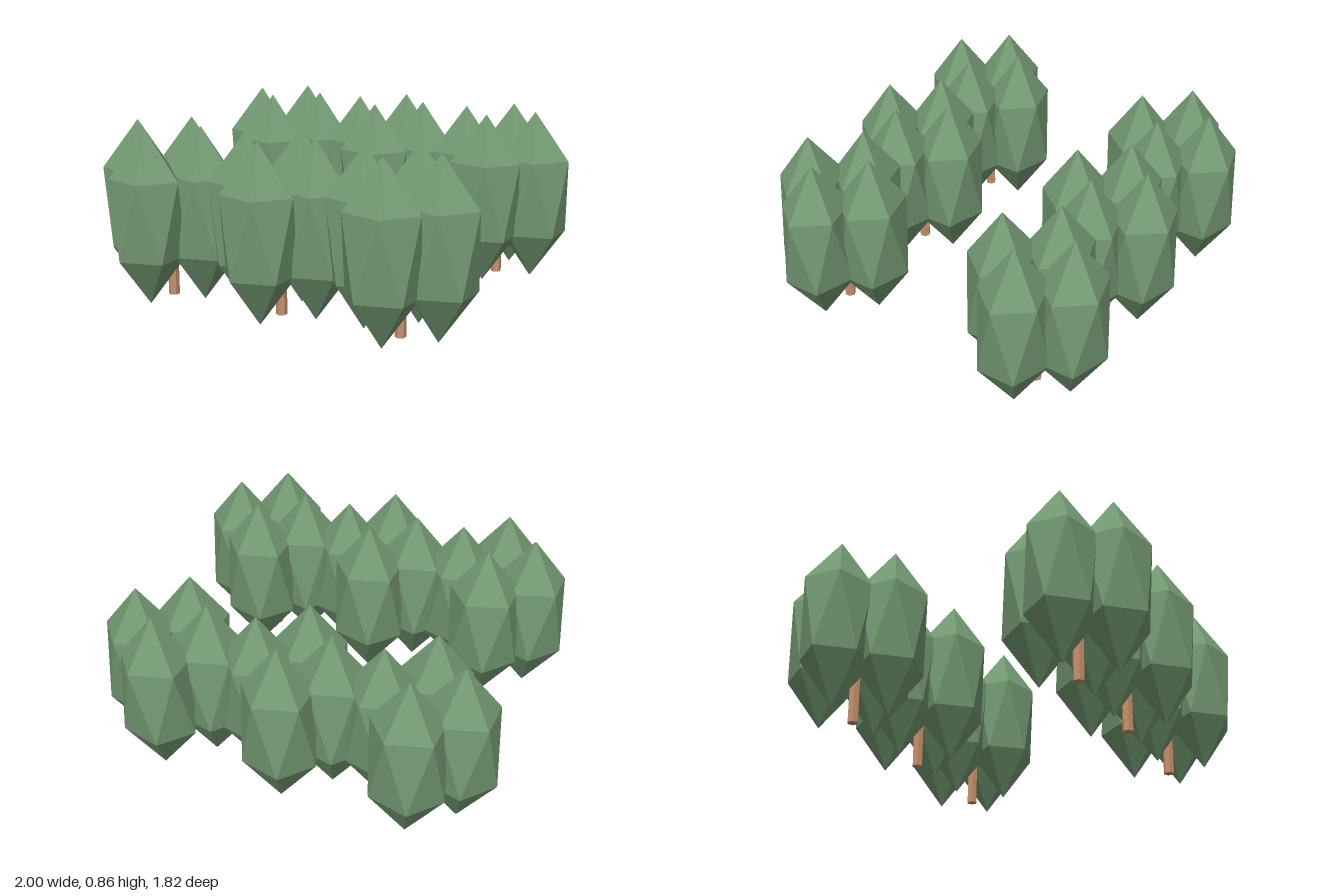
import * as THREE from 'three';

const leafGreen = new THREE.MeshStandardMaterial({ color: 0x739972, flatShading: true });
leafGreen.name = 'leafGreen';
const barkBrown = new THREE.MeshStandardMaterial({ color: 0xc8906c, flatShading: true });
barkBrown.name = 'barkBrown';

// Stretched icosahedron standing on one vertex, an upper-ring corner facing +x
function foliageGeometry() {
  const g = new THREE.IcosahedronGeometry(1, 0);
  g.rotateZ(-Math.atan(2 / (1 + Math.sqrt(5))));
  g.scale(0.206, 0.43, 0.182);
  g.translate(0, 0.435, 0);
  return g;
}

// Six-sided trunk standing on the ground
function trunkGeometry() {
  const g = new THREE.CylinderGeometry(0.027, 0.027, 0.43, 6);
  g.translate(0, 0.215, 0);
  return g;
}

export function createModel() {
  const grove = new THREE.Group();
  grove.name = 'grove';
  const foliage = foliageGeometry();
  const trunk = trunkGeometry();
  const offset = 0.188;

  // Two rows of three trees, each with four leaf clumps around a trunk
  for (const z of [-0.566, 0.566]) {
    for (const x of [-0.628, 0, 0.628]) {
      const tree = new THREE.Group();
      tree.name = 'tree';
      tree.position.set(x, 0, z);

      const trunkMesh = new THREE.Mesh(trunk, barkBrown);
      trunkMesh.name = 'trunk';
      tree.add(trunkMesh);

      for (const [dx, dz] of [[1, 0], [-1, 0], [0, 1], [0, -1]]) {
        const clump = new THREE.Mesh(foliage, leafGreen);
        clump.name = 'leafClump';
        clump.position.set(dx * offset, 0, dz * offset);
        tree.add(clump);
      }
      grove.add(tree);
    }
  }
  return grove;
}
